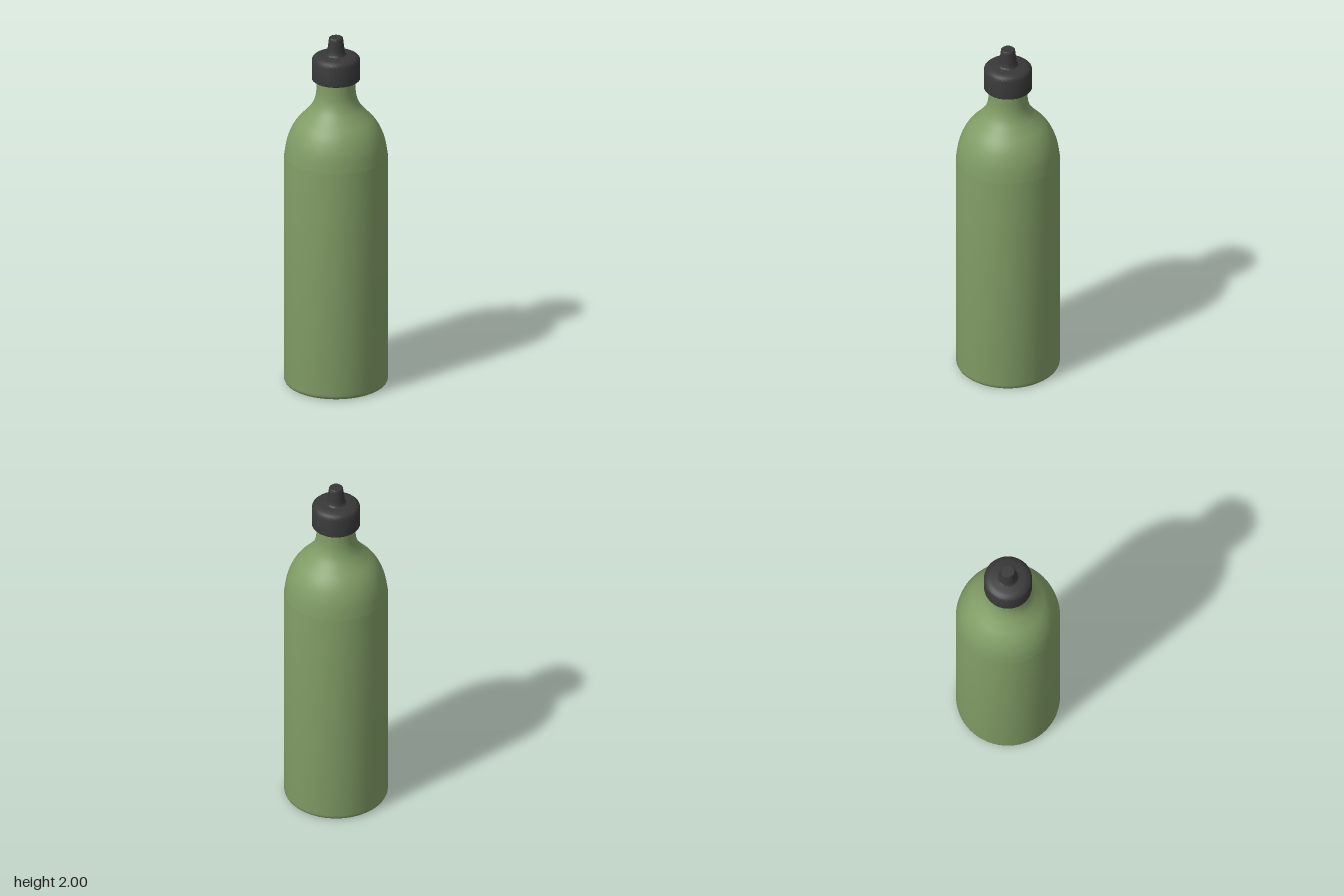
import * as THREE from 'three';
import { toCreasedNormals } from 'three/addons/utils/BufferGeometryUtils.js';

const SEGMENTS = 72;

// Revolve a profile of [radius, height] pairs, listed from bottom to top
function revolve(name, profile, material) {
  const points = profile.map(([r, y]) => new THREE.Vector2(r, y));
  const geometry = toCreasedNormals(new THREE.LatheGeometry(points, SEGMENTS), 0.7);
  const mesh = new THREE.Mesh(geometry, material);
  mesh.name = name;
  return mesh;
}

// Smooth curve through a few [radius, height] pairs
function smooth(pairs, count) {
  const curve = new THREE.SplineCurve(pairs.map(([r, y]) => new THREE.Vector2(r, y)));
  return curve.getPoints(count).map((p) => [p.x, p.y]);
}

export function createModel() {
  const green = new THREE.MeshStandardMaterial({ color: 0x809c65 });
  green.name = 'bottle green';
  const black = new THREE.MeshStandardMaterial({ color: 0x383838 });
  black.name = 'cap black';

  const group = new THREE.Group();
  group.name = 'bottle';

  // Shallow recessed base, rounded foot, straight wall, curved shoulder and neck
  const base = [[0, 0.018], [0.25, 0.018], [0.256, 0.005], [0.261, 0]];
  const foot = [[0.268, 0.002], [0.275, 0.008], [0.279, 0.017], [0.28, 0.027]];
  const shoulder = smooth([
    [0.28, 1.31], [0.266, 1.395], [0.243, 1.46], [0.213, 1.51], [0.168, 1.56],
    [0.132, 1.605], [0.112, 1.652], [0.105, 1.7],
  ], 32);
  group.add(revolve('body', [...base, ...foot, ...shoulder, [0.105, 1.78], [0, 1.78]], green));

  // Screw cap with a rounded upper edge
  group.add(revolve('cap', [
    [0, 1.757], [0.126, 1.757], [0.13, 1.761], [0.13, 1.87],
    [0.127, 1.879], [0.118, 1.888], [0.105, 1.895], [0.09, 1.899], [0, 1.902],
  ], black));

  // Tapered spout flaring softly into the cap
  group.add(revolve('spout', [
    [0.06, 1.898], [0.053, 1.902], [0.049, 1.91], [0.046, 1.93],
    [0.039, 1.985], [0.0375, 1.996], [0.034, 2], [0, 2],
  ], black));

  return group;
}
